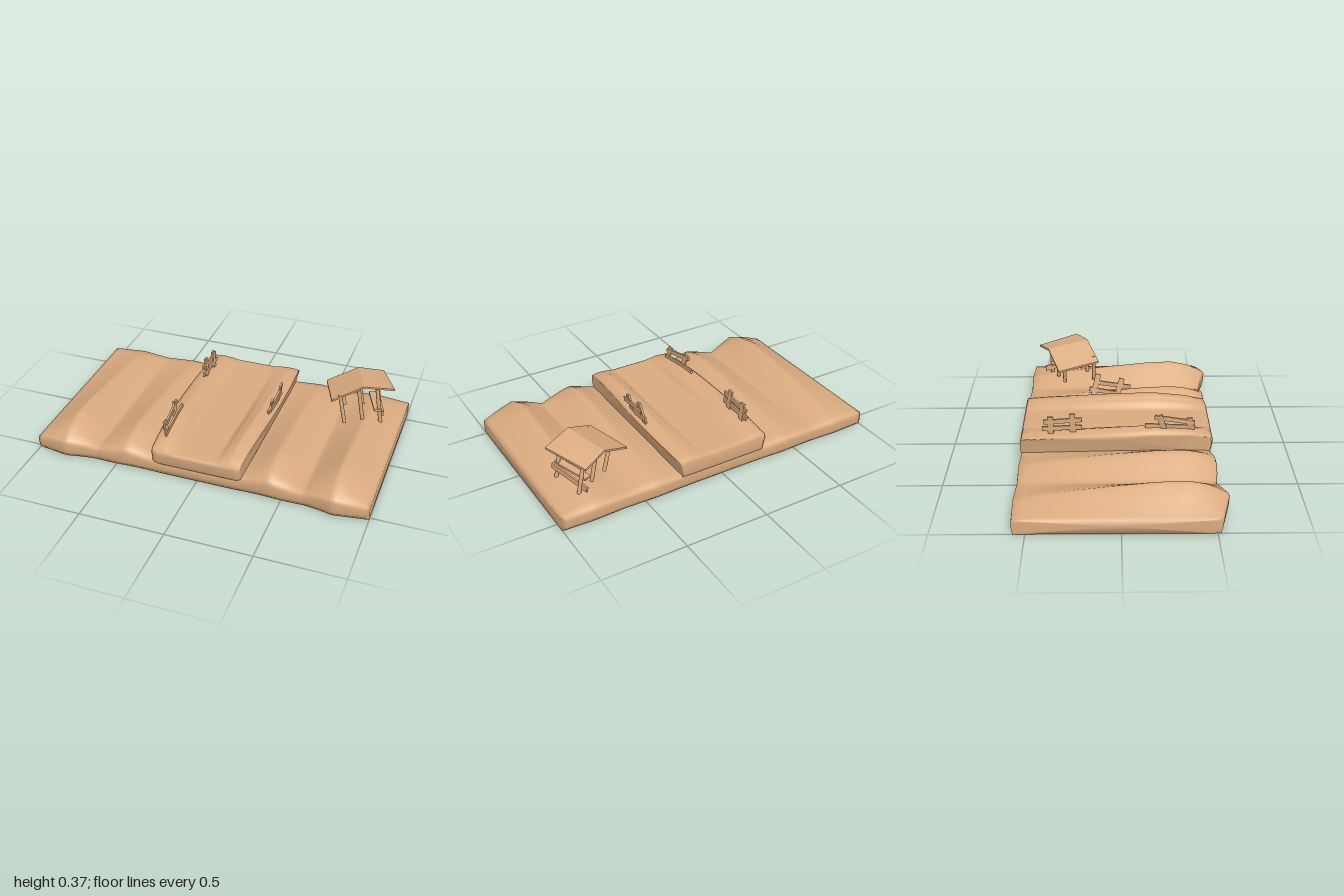
import * as THREE from 'three';

const clay = new THREE.MeshStandardMaterial({ color: 0xdaab80 });
clay.name = 'clay';
const V = (x, y, z) => new THREE.Vector3(x, y, z);

// piecewise interpolation through [position, value] keys; ease 0 = straight, 1 = smooth
function keyed(keys, t, ease = 0) {
  if (t <= keys[0][0]) return keys[0][1];
  for (let i = 1; i < keys.length; i++) {
    const [a, va] = keys[i - 1], [b, vb] = keys[i];
    if (t <= b) {
      const k = (t - a) / (b - a), s = k * k * (3 - 2 * k);
      return va + (vb - va) * (k + (s - k) * ease);
    }
  }
  return keys[keys.length - 1][1];
}

// solid skin over closed sections, smooth across the end caps
function loft(sections) {
  const n = sections[0].length, pos = [], index = [];
  sections.forEach(s => s.forEach(p => pos.push(p.x, p.y, p.z)));
  for (let i = 0; i < sections.length - 1; i++) {
    for (let j = 0; j < n; j++) {
      const a = i * n + j, b = i * n + (j + 1) % n;
      index.push(a, a + n, b, b, a + n, b + n);
    }
  }
  [0, sections.length - 1].forEach(i => {
    const mid = sections[i].reduce((m, p) => m.add(p), V(0, 0, 0)).divideScalar(n);
    const centre = pos.length / 3;
    pos.push(mid.x, mid.y, mid.z);
    for (let j = 0; j < n; j++) {
      const a = i * n + j, b = i * n + (j + 1) % n;
      index.push(centre, i ? b : a, i ? a : b);
    }
  });
  const g = new THREE.BufferGeometry();
  g.setAttribute('position', new THREE.Float32BufferAttribute(pos, 3));
  g.setIndex(index);
  g.computeVertexNormals();
  return g;
}

function add(parent, name, geometry) {
  const m = new THREE.Mesh(geometry, clay);
  m.name = name;
  parent.add(m);
  return m;
}

// board running between two points
function board(parent, name, a, b, height, thick) {
  const m = add(parent, name, new THREE.BoxGeometry(thick, height, a.distanceTo(b)));
  m.position.copy(a).lerp(b, 0.5);
  m.lookAt(b);
}

// upright of any cross-section between two points
function upright(parent, name, a, b, geometry) {
  const m = add(parent, name, geometry);
  m.scale.y = a.distanceTo(b);
  m.position.copy(a).lerp(b, 0.5);
  m.quaternion.setFromUnitVectors(V(0, 1, 0), b.clone().sub(a).normalize());
}

// rolling ground: two ridges on each side, tallest near the front, hollow beneath
function terrain() {
  const ridge = [[0.2, 0], [0.27, 0.15], [0.43, 0.88], [0.62, 0], [0.8, 1], [1, 0]];
  const slope = [[-0.58, 0.012], [-0.4, 0.045], [-0.2, 0.07], [0, 0.092], [0.2, 0.112],
    [0.35, 0.118], [0.45, 0.1], [0.52, 0.07], [0.56, 0.045]];
  const sections = [];
  for (let i = 0; i <= 100; i++) {
    const x = -1 + i * 0.02, r = keyed(ridge, Math.abs(x), 0.12);
    const bulge = 0.05 * r * Math.min(1, Math.pow(Math.abs(x) / 0.8, 1.5));
    const front = 0.528 + bulge, back = -0.572 - 0.007 * r;
    const s = [V(x, 0.018 * r, front - 0.012), V(x, 0.03 + 0.015 * r, front - 0.004),
      V(x, 0.065 + 0.04 * r, front)];
    for (let k = 0; k <= 22; k++) {
      const z = front - 0.01 + (back + 0.004 - front + 0.01) * k / 22;
      s.push(V(x, 0.08 + r * keyed(slope, z, 0.3), z));
    }
    s.push(V(x, 0.06, back), V(x, 0.02, back + 0.003), V(x, 0, back + 0.008));
    for (let k = 1; k < 18; k++) {
      const z = back + (front - 0.012 - back) * k / 18;
      s.push(V(x, 0.7 * r * Math.max(0, keyed(slope, z) - 0.03), z));
    }
    sections.push(s);
  }
  return loft(sections);
}

// raised road with a rounded bank along each side
function road() {
  const bank = [[0.115, 0], [0.165, 0.65], [0.205, 1], [0.25, 0.85], [0.28, 0.5]];
  const rise = [[-0.57, 0.012], [-0.4, 0.028], [-0.2, 0.042], [0, 0.055], [0.2, 0.065],
    [0.4, 0.05], [0.53, 0.012]];
  const flare = [[0.08, 0], [0.18, 1]];
  const sections = [];
  for (let i = 0; i <= 56; i++) {
    const t = -1 + i / 28, b = keyed(bank, Math.abs(t) * 0.28, 0.5);
    const round = Math.max(0, Math.abs(t) - 0.9) * 0.1;
    const p = (y, z) => V(t * (0.266 + 0.032 * Math.cos(z * 2.2 + 0.35) * keyed(flare, y, 1)), y, z);
    const s = [p(0.06, 0.518), p(0.09, 0.532 - round), p(0.145, 0.54 - round), p(0.16, 0.535 - round)];
    for (let k = 0; k <= 22; k++) {
      const z = 0.522 - 1.09 * k / 22;
      s.push(p(0.166 + b * keyed(rise, z, 0.4), z));
    }
    s.push(p(0.155, -0.577), p(0.09, -0.576), p(0.06, -0.565));
    sections.push(s);
  }
  return loft(sections);
}

// rickety fence: rails and posts given as point pairs
function fence(name, rails, posts) {
  const g = new THREE.Group();
  g.name = name;
  rails.forEach(([a, b]) => board(g, 'fenceRail', V(...a), V(...b), 0.026, 0.012));
  posts.forEach(([a, b]) =>
    upright(g, 'fencePost', V(...a), V(...b), new THREE.BoxGeometry(0.012, 1, 0.034)));
  return g;
}

// tilted shelter on six posts
function shelter() {
  const g = new THREE.Group();
  g.name = 'shelter';
  const leftFront = V(0.605, 0.285, -0.13), leftBack = V(0.51, 0.255, -0.385);
  const ridgeFront = V(0.775, 0.37, -0.205), ridgeBack = V(0.685, 0.34, -0.46);
  const rightFront = V(0.945, 0.345, -0.28), rightBack = V(0.83, 0.31, -0.525);
  const down = p => p.clone().add(V(0, -0.012, 0));
  const panel = (name, a, b, c, d) => {
    const m = add(g, name, loft([[a, b, down(b), down(a)], [d, c, down(c), down(d)]]).toNonIndexed());
    m.geometry.computeVertexNormals();
  };
  panel('leftRoofPanel', leftFront, leftBack, ridgeBack, ridgeFront);
  panel('rightRoofPanel', ridgeFront, ridgeBack, rightBack, rightFront);
  for (const u of [-1, 1]) {
    for (const v of [-1, 0, 1]) {
      const x = 0.742 + u * 0.022 + v * 0.1, z = -0.305 + u * 0.095 - v * 0.046;
      const top = 0.325 + u * 0.014 + (v < 0 ? -0.03 : 0);
      upright(g, 'shelterPost', V(x + 0.02, v > 0 ? 0.105 : 0.125, z), V(x - 0.018, top, z),
        new THREE.CylinderGeometry(0.0115, 0.0115, 1, 10));
    }
  }
  // side rail and seat
  board(g, 'sideRail', V(0.895, 0.188, -0.24), V(0.81, 0.148, -0.49), 0.034, 0.012);
  board(g, 'benchSeat', V(0.865, 0.205, -0.235), V(0.785, 0.19, -0.45), 0.012, 0.045);
  return g;
}

export function createModel() {
  const model = new THREE.Group();
  model.name = 'roadAndShelter';
  add(model, 'ground', terrain());
  add(model, 'road', road());
  model.add(fence('rightFrontFence',
    [[[-0.228, 0.253, 0.43], [-0.245, 0.298, 0.2]], [[-0.217, 0.218, 0.435], [-0.232, 0.238, 0.145]]],
    [[[-0.215, 0.19, 0.41], [-0.235, 0.288, 0.4]], [[-0.228, 0.2, 0.26], [-0.248, 0.31, 0.225]]]));
  model.add(fence('rightBackFence',
    [[[-0.238, 0.28, -0.22], [-0.24, 0.266, -0.44]], [[-0.234, 0.232, -0.22], [-0.236, 0.222, -0.45]]],
    [[[-0.23, 0.18, -0.27], [-0.242, 0.318, -0.275]], [[-0.23, 0.18, -0.4], [-0.242, 0.3, -0.4]]]));
  model.add(fence('leftFence',
    [[[0.278, 0.25, 0.07], [0.288, 0.28, -0.15]], [[0.268, 0.208, 0.0], [0.28, 0.238, -0.185]]],
    [[[0.265, 0.19, -0.015], [0.284, 0.305, 0.018]], [[0.27, 0.2, -0.16], [0.294, 0.33, -0.128]]]));
  model.add(shelter());
  return model;
}
